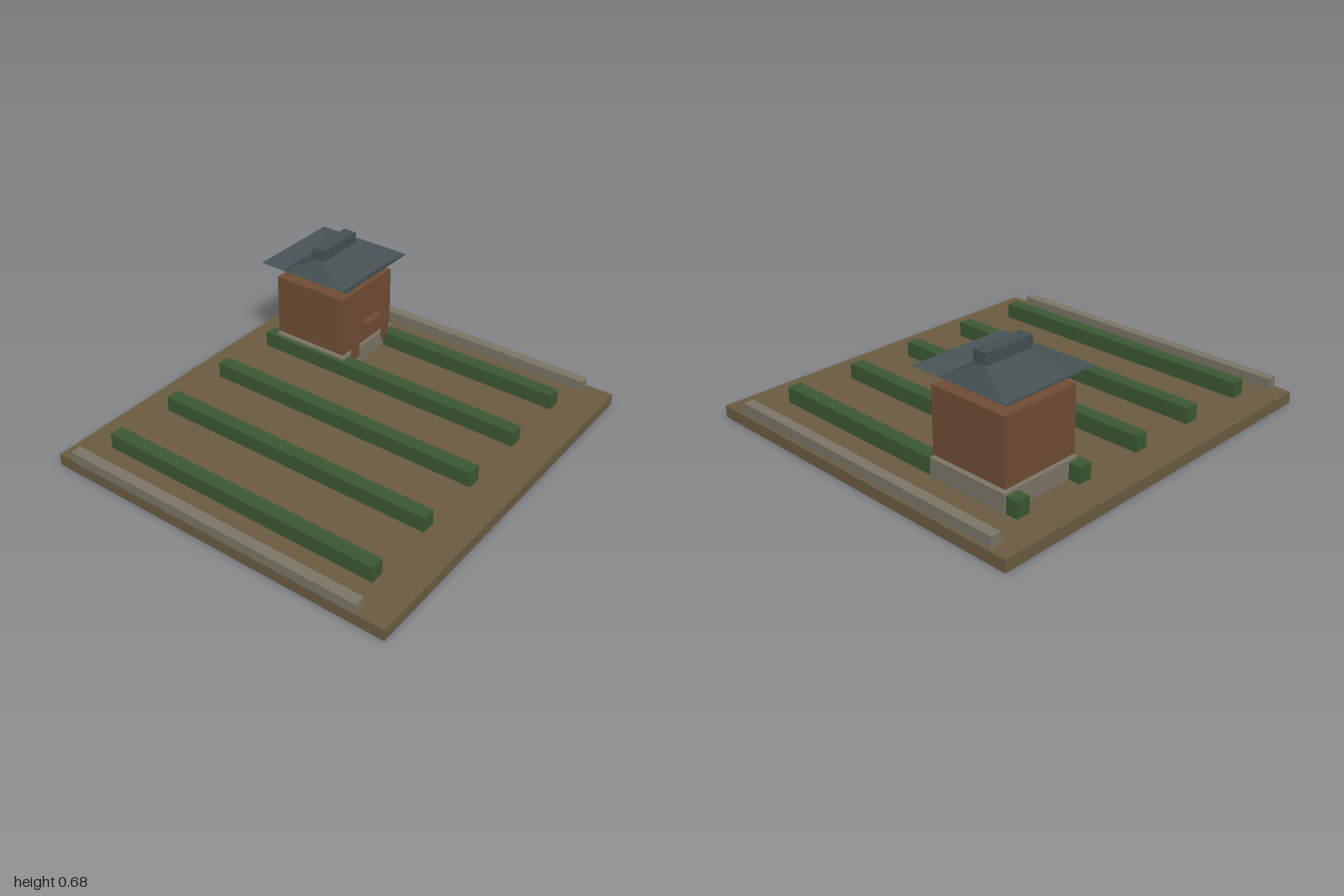
import * as THREE from 'three';

const mat = (name, color) => {
  const m = new THREE.MeshStandardMaterial({ color, side: THREE.DoubleSide });
  m.name = name;
  return m;
};

export function createModel() {
  const earth = mat('earth', 0x6a5c40);
  const hedgeGreen = mat('hedgeGreen', 0x3c5733);
  const stone = mat('stone', 0x7b7566);
  const wood = mat('wood', 0x704d34);
  const slate = mat('slate', 0x445053);

  const model = new THREE.Group();
  model.name = 'gardenPavilion';

  const add = (parent, name, geometry, material) => {
    const mesh = new THREE.Mesh(geometry, material);
    mesh.name = name;
    parent.add(mesh);
    return mesh;
  };

  // Box given by its limits; an open box has no bottom face
  const box = (parent, name, material, [x0, x1], [y0, y1], [z0, z1], open = false) => {
    const g = new THREE.BoxGeometry(x1 - x0, y1 - y0, z1 - z0);
    if (open) {
      const index = Array.from(g.index.array);
      index.splice(18, 6);
      g.setIndex(index);
      g.clearGroups();
    }
    g.translate((x0 + x1) / 2, (y0 + y1) / 2, (z0 + z1) / 2);
    return add(parent, name, g, material);
  };

  // Four sloping sides between two centred rectangles [half x, y, half z]
  const slopes = (low, high) => {
    const ring = ([w, y, d]) => [[-w, y, d], [w, y, d], [w, y, -d], [-w, y, -d]];
    const a = ring(low), b = ring(high), p = [];
    for (let i = 0; i < 4; i++) {
      const j = (i + 1) % 4;
      p.push(...a[i], ...a[j], ...b[j]);
      // a ridge line has no end edge, so its hip ends are single triangles
      if (high[2] > 0 || i % 2 === 0) p.push(...a[i], ...b[j], ...b[i]);
    }
    const g = new THREE.BufferGeometry();
    g.setAttribute('position', new THREE.Float32BufferAttribute(p, 3));
    g.computeVertexNormals();
    return g;
  };

  // Ground slab, hollow underneath
  box(model, 'ground', earth, [-1, 1], [0, 0.06], [-0.93, 0.93], true);

  // Low stone walls along both sides
  box(model, 'rightWall', stone, [-1, -0.945], [0.06, 0.115], [-0.84, 0.79]);
  box(model, 'leftWall', stone, [0.932, 0.985], [0.06, 0.115], [-0.84, 0.79]);

  // Rows of hedges
  for (let i = 0; i < 5; i++) {
    const x = -0.78 + i * 0.378;
    box(model, 'hedge', hedgeGreen, [x - 0.036, x + 0.036], [0.06, 0.14], [-0.77, 0.74]);
  }

  // House
  const house = new THREE.Group();
  house.name = 'house';
  model.add(house);
  box(house, 'foundation', stone, [0.337, 0.777], [0.03, 0.153], [-0.708, -0.272], true);
  box(house, 'houseBody', wood, [0.346, 0.764], [0.165, 0.49], [-0.7, -0.28]);
  box(house, 'doorSign', wood, [0.492, 0.616], [0.255, 0.303], [-0.27, -0.23]);

  // Slim railing bars on both sides of the entrance
  for (const side of [-1, 1]) {
    for (let i = -1; i <= 1; i++) {
      const x = 0.555 + side * 0.132 + i * 0.021;
      box(house, 'railingBar', wood, [x - 0.006, x + 0.006], [0.12, 0.23], [-0.265, -0.25]);
    }
  }

  // Roof: hipped centre, upturned eaves and ridge beam
  const roof = new THREE.Group();
  roof.name = 'roof';
  roof.position.set(0.556, 0, -0.49);
  house.add(roof);
  add(roof, 'hippedRoof', slopes([0.19, 0.525, 0.19], [0.122, 0.623, 0]), slate);
  add(roof, 'eaves', slopes([0.19, 0.525, 0.19], [0.26, 0.573, 0.27]), slate);
  box(roof, 'ridgeBeam', slate, [-0.135, 0.135], [0.622, 0.68], [-0.037, 0.037]);

  return model;
}
